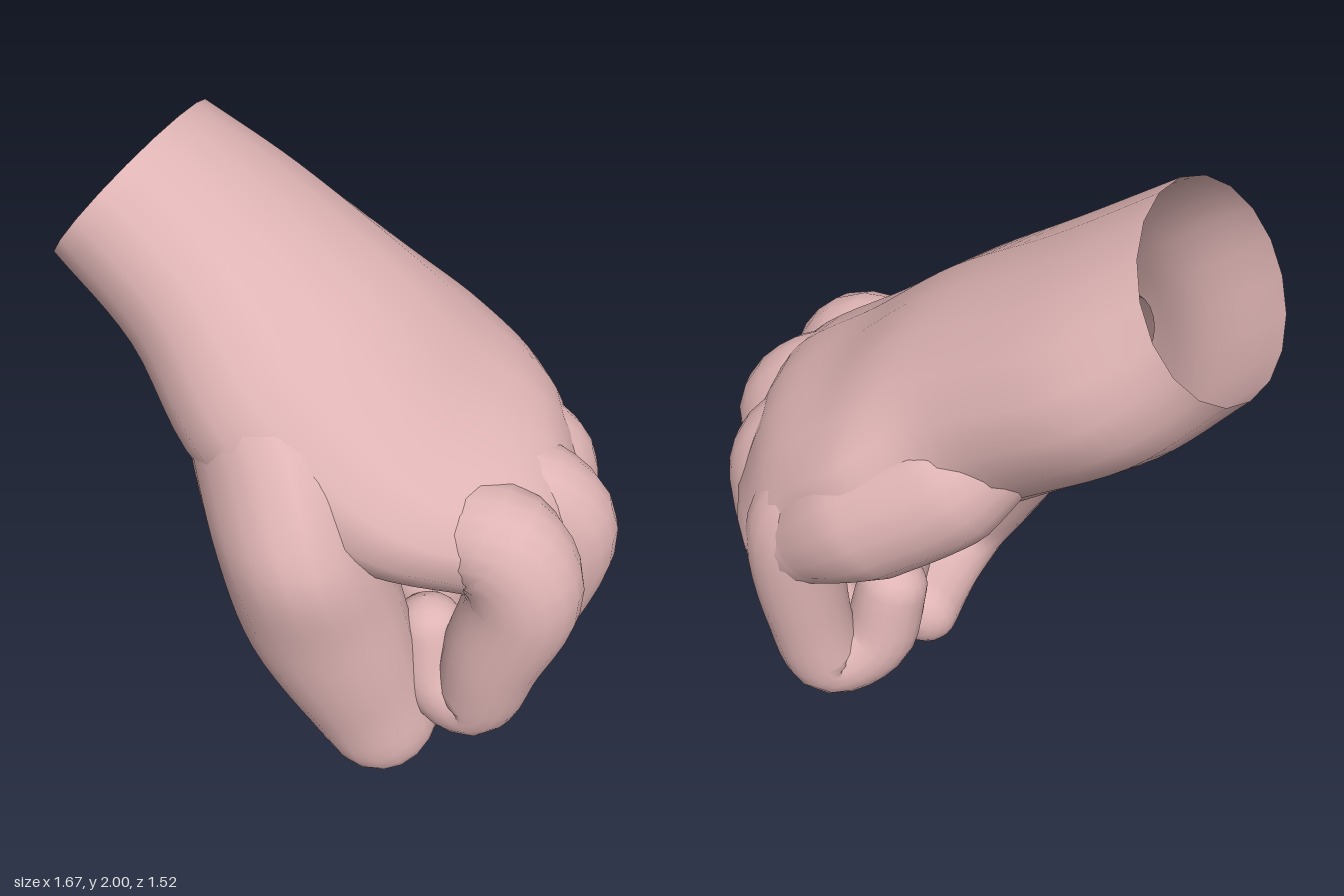
import * as THREE from 'three';

const SIDES = 18;
const skin = new THREE.MeshStandardMaterial({ color: 0xdfb4b4, side: THREE.DoubleSide });

// Skins rings given as { c: centre, u, v: half axes }; a rounded end of the given depth closes the last ring
function loft(name, rings, depth) {
  const last = rings[rings.length - 1];
  const forward = last.u.clone().cross(last.v).normalize();
  const all = [...rings];
  for (const a of [0.3, 0.6, 0.9, 1.2, 1.56]) {
    all.push({
      c: last.c.clone().addScaledVector(forward, depth * Math.sin(a)),
      u: last.u.clone().multiplyScalar(Math.cos(a)),
      v: last.v.clone().multiplyScalar(Math.cos(a)),
    });
  }
  const pos = [], index = [];
  all.forEach(({ c, u, v }, i) => {
    for (let j = 0; j < SIDES; j++) {
      const a = (j / SIDES) * Math.PI * 2;
      const p = c.clone().addScaledVector(u, Math.cos(a)).addScaledVector(v, Math.sin(a));
      pos.push(p.x, p.y, p.z);
      if (i === all.length - 1) continue;
      const k = (j + 1) % SIDES, r = i * SIDES, s = r + SIDES;
      index.push(r + j, r + k, s + j, r + k, s + k, s + j);
    }
  });
  const geo = new THREE.BufferGeometry();
  geo.setAttribute('position', new THREE.Float32BufferAttribute(pos, 3));
  geo.setIndex(index);
  geo.computeVertexNormals();
  const mesh = new THREE.Mesh(geo, skin);
  mesh.name = name;
  return mesh;
}

// Smoothly fills in rings between a few [centre, u, v] key sections
function smoothRings(keys, steps) {
  const [c, u, v] = [0, 1, 2].map((n) =>
    new THREE.CatmullRomCurve3(keys.map((k) => new THREE.Vector3(...k[n])), false, 'catmullrom', 0.5));
  const rings = [];
  for (let i = 0; i <= steps; i++) {
    const t = i / steps;
    rings.push({ c: c.getPoint(t), u: u.getPoint(t), v: v.getPoint(t) });
  }
  return rings;
}

// A round, bent limb: points are [x, y, z, radius]
function limb(name, points) {
  const path = new THREE.CatmullRomCurve3(points.map((p) => new THREE.Vector3(p[0], p[1], p[2])), false, 'catmullrom', 0.5);
  const side = new THREE.Vector3(0, 0, 1);
  const steps = 28, rings = [];
  for (let i = 0; i <= steps; i++) {
    const t = i / steps, f = t * (points.length - 1);
    const k = Math.min(Math.floor(f), points.length - 2);
    const r = THREE.MathUtils.lerp(points[k][3], points[k + 1][3], f - k);
    const tangent = path.getTangent(t);
    const u = side.clone().cross(tangent).normalize();
    const v = tangent.clone().cross(u).normalize();
    rings.push({ c: path.getPoint(t), u: u.multiplyScalar(r), v: v.multiplyScalar(r) });
  }
  return loft(name, rings, points[points.length - 1][3] * 0.9);
}

export function createModel() {
  const hand = new THREE.Group();
  hand.name = 'hand';

  // Open wrist widening into the back of the hand, bending down over the knuckles
  hand.add(loft('wristAndPalm', smoothRings([
    [[-0.6, 1.765, -0.41], [0.21, 0.22, -0.015], [-0.13, 0.09, 0.345]],
    [[-0.36, 1.55, -0.3], [0.24, 0.24, -0.01], [-0.15, 0.08, 0.43]],
    [[-0.1, 1.29, -0.07], [0.28, 0.27, 0], [-0.23, 0.05, 0.48]],
    [[0.2, 1.09, 0.05], [0.21, 0.25, 0], [-0.2, 0.0, 0.58]],
    [[0.47, 0.94, 0.12], [0.18, 0.21, 0], [-0.1, 0, 0.54]],
    [[0.6, 0.8, 0.13], [0.17, 0.06, 0], [-0.08, 0, 0.5]],
  ], 30), 0.1));

  // Fleshy heel on the little finger side of the palm
  hand.add(limb('heelOfPalm', [[-0.2, 1.38, -0.36, 0.1], [0.12, 1.16, -0.4, 0.215],
    [0.38, 1.0, -0.36, 0.22], [0.56, 0.85, -0.28, 0.16]]));

  // Heel of the thumb, thumb, and its tip turned in under the fingers
  hand.add(loft('thumb', smoothRings([
    [[-0.45, 1.42, -0.05], [0.06, 0.05, 0], [-0.03, 0.05, 0.08]],
    [[-0.27, 1.2, 0.12], [0.22, 0.1, 0], [-0.02, 0.14, 0.32]],
    [[-0.2, 0.96, 0.33], [0.245, 0.05, 0], [-0.02, 0.08, 0.35]],
    [[-0.12, 0.67, 0.42], [0.245, 0.06, 0], [0, 0.02, 0.24]],
    [[0, 0.37, 0.46], [0.19, 0.08, 0], [0, -0.02, 0.17]],
    [[0.08, 0.2, 0.45], [0.16, 0.06, 0.02], [0, -0.1, 0.14]],
    [[0.16, 0.155, 0.28], [0.13, 0.02, 0.05], [0, -0.125, 0.03]],
    [[0.215, 0.135, 0.13], [0.125, 0.01, 0.03], [0, -0.13, 0]],
  ], 35), 0.11));

  // Fingers: out of the palm, over the knuckle, down, and tucked back up
  const fingers = {
    indexFinger: [[0.17, 1.02, 0.42, 0.14], [0.38, 1.0, 0.54, 0.18], [0.46, 0.84, 0.59, 0.18],
      [0.39, 0.58, 0.57, 0.16], [0.34, 0.36, 0.54, 0.135], [0.23, 0.41, 0.48, 0.12], [0.21, 0.58, 0.43, 0.11]],
    middleFinger: [[0.27, 1.05, 0.25, 0.14], [0.52, 1.0, 0.32, 0.17], [0.645, 0.84, 0.35, 0.165],
      [0.56, 0.5, 0.32, 0.15], [0.47, 0.27, 0.28, 0.14], [0.27, 0.38, 0.25, 0.13], [0.23, 0.61, 0.24, 0.12]],
    ringFinger: [[0.33, 1.03, 0.02, 0.14], [0.56, 0.98, 0.05, 0.17], [0.665, 0.84, 0.06, 0.16],
      [0.64, 0.5, 0.045, 0.148], [0.57, 0.245, 0.04, 0.145], [0.36, 0.33, 0.03, 0.135], [0.28, 0.59, 0.03, 0.125]],
    littleFinger: [[0.33, 1.02, -0.24, 0.14], [0.52, 0.97, -0.25, 0.165], [0.6, 0.82, -0.265, 0.155],
      [0.58, 0.5, -0.26, 0.135], [0.52, 0.3, -0.25, 0.13], [0.37, 0.36, -0.23, 0.125], [0.31, 0.56, -0.21, 0.115]],
  };
  for (const [name, points] of Object.entries(fingers)) hand.add(limb(name, points));

  return hand;
}
